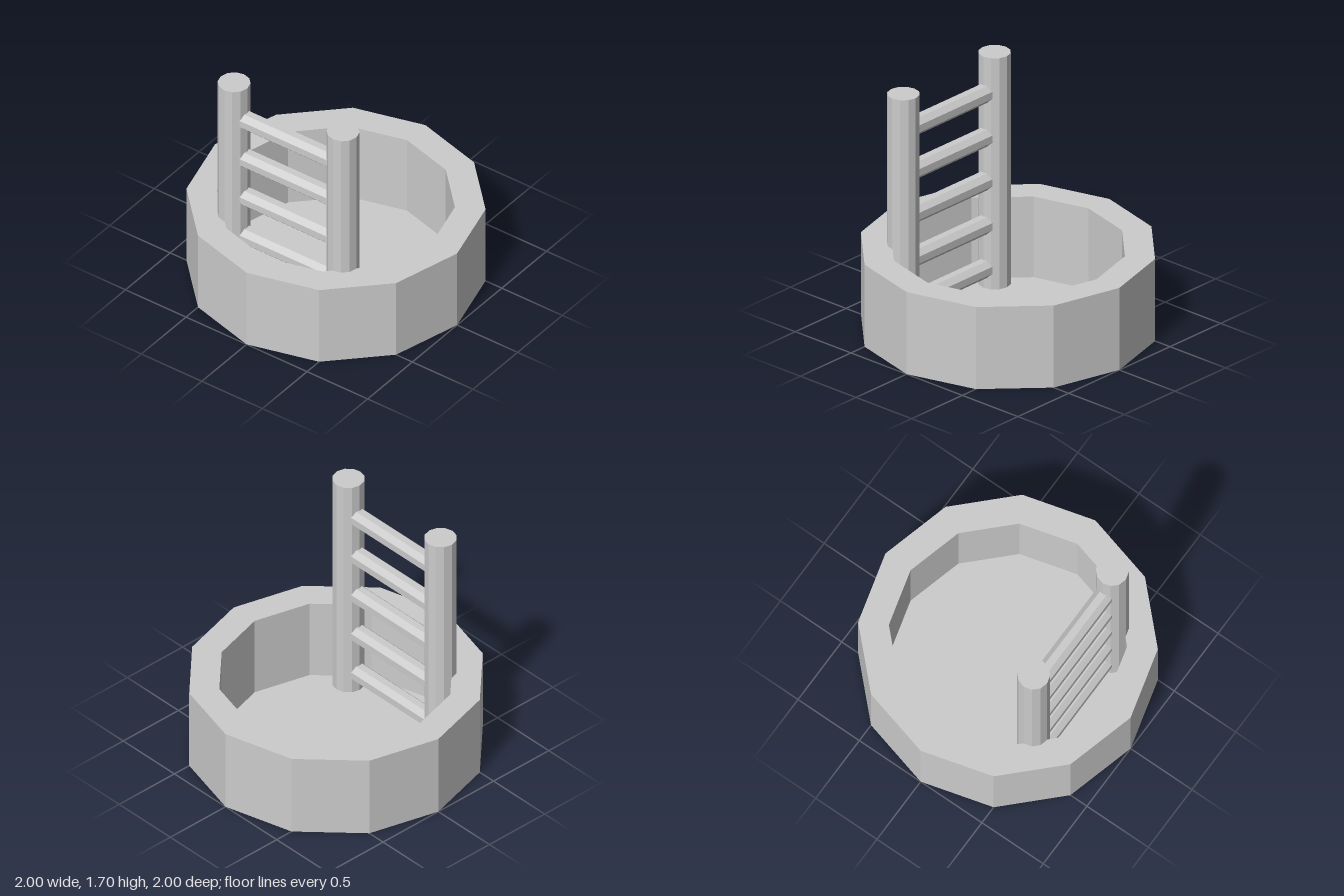
import * as THREE from 'three';

export function createModel() {
  const model = new THREE.Group();
  const material = new THREE.MeshStandardMaterial({ color: 0xcccccc, flatShading: true });

  const add = (name, geometry, x = 0, y = 0, z = 0) => {
    const mesh = new THREE.Mesh(geometry, material);
    mesh.name = name;
    mesh.position.set(x, y, z);
    model.add(mesh);
    return mesh;
  };

  // Twelve-sided well wall with a thin floor, one closed profile
  const rim = 0.6, outer = 1, inner = 0.795, floor = 0.01;
  const profile = [[0, 0], [outer, 0], [outer, rim], [inner, rim], [inner, floor], [0, floor]]
    .map(([r, y]) => new THREE.Vector2(r, y));
  add('basin', new THREE.LatheGeometry(profile, 12));

  // Ladder posts, standing on the basin floor
  const ladderX = 0.45, ladderZ = 0.53, top = 1.7;
  for (const side of [-1, 1]) {
    add(side > 0 ? 'leftPost' : 'rightPost',
      new THREE.CylinderGeometry(0.11, 0.11, top - 0.002, 12),
      side * ladderX, top / 2 + 0.001, ladderZ);
  }

  // Five evenly spaced rungs, running into the posts
  for (let i = 0; i < 5; i++) {
    const geometry = new THREE.CylinderGeometry(0.067, 0.067, ladderX * 2, 8);
    geometry.rotateY(Math.PI / 8).rotateZ(Math.PI / 2);
    add(`rung${i + 1}`, geometry, 0, 0.15 + i * 0.32, ladderZ);
  }

  return model;
}
